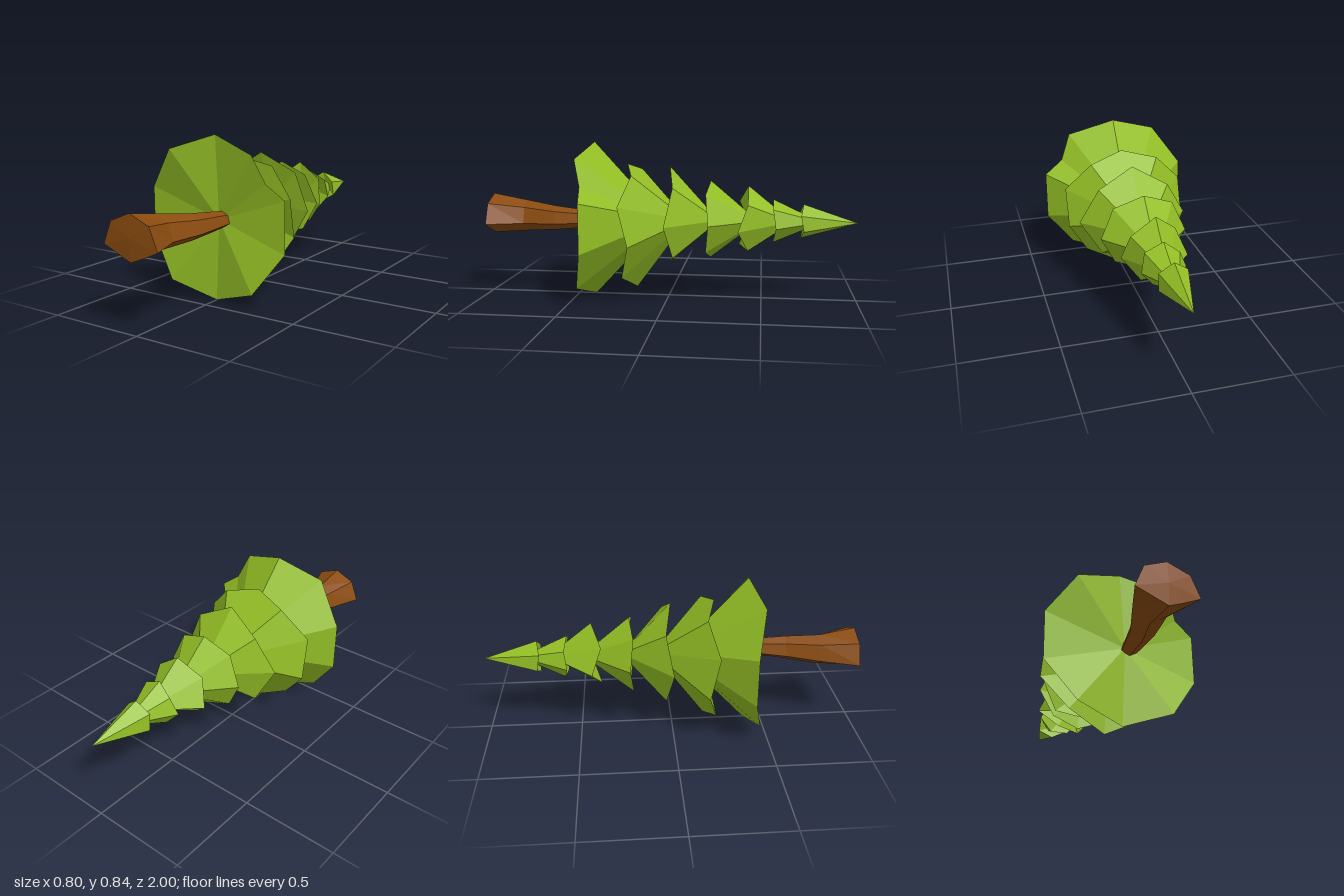
import * as THREE from 'three';

const AXIS_Y = 0.418;

// Flat-shaded mesh from a list of triangles (each three Vector3 corners)
function facetMesh(name, triangles, material) {
  const geometry = new THREE.BufferGeometry().setFromPoints(triangles.flat());
  geometry.computeVertexNormals();
  const mesh = new THREE.Mesh(geometry, material);
  mesh.name = name;
  return mesh;
}

// Jagged cone of foliage: rim entries are [angle in degrees, radius, z]
function foliageTier(name, { rim, apex, hollow }, material) {
  const points = rim.map(([deg, r, z]) => {
    const a = THREE.MathUtils.degToRad(deg);
    return new THREE.Vector3(r * Math.cos(a), AXIS_Y + r * Math.sin(a), z);
  });
  const tip = new THREE.Vector3(0.005, AXIS_Y, apex);
  const under = new THREE.Vector3(0.02, AXIS_Y, hollow);
  const triangles = [];
  points.forEach((p, i) => {
    const q = points[(i + 1) % points.length];
    triangles.push([q, p, tip], [p, q, under]);
  });
  return facetMesh(name, triangles, material);
}

// Evenly spaced rim starting at the top, with its own radii and alternating depth
const evenRim = (radii, zLow, zHigh) => radii.map((r, i) =>
  [90 + (i * 360) / radii.length, r, i % 2 ? zHigh : zLow]);

export function createModel() {
  const tree = new THREE.Group();
  tree.name = 'fallenPine';

  const green = new THREE.MeshStandardMaterial({ color: 0x93be25, flatShading: true });
  green.name = 'needle green';
  const brown = new THREE.MeshStandardMaterial({ color: 0x8a4b0f, flatShading: true });
  brown.name = 'bark brown';

  // Lowest tier: decagon with drooping corners and one notch
  const lowest = [];
  for (let i = 0; i < 10; i++) {
    const droops = [1, 4, 6, 9].includes(i);
    lowest.push([90 + i * 36, 0.418, droops ? 0.458 : 0.405]);
    if (i === 8) lowest.push([34, 0.362, 0.42]);
  }

  // Tiers from the trunk to the top
  const tiers = [
    { rim: lowest, apex: 0.02, hollow: 0.405 },
    { rim: evenRim([0.3, 0.32, 0.35, 0.36, 0.35, 0.375, 0.35, 0.33, 0.335, 0.31], 0.225, 0.175), apex: -0.1, hollow: 0.17 },
    { rim: evenRim([0.29, 0.26, 0.29, 0.27, 0.23, 0.25, 0.29, 0.27], -0.005, -0.04), apex: -0.27, hollow: -0.07 },
    { rim: evenRim([0.215, 0.22, 0.225, 0.21, 0.2, 0.21, 0.225, 0.22], -0.225, -0.208), apex: -0.48, hollow: -0.25 },
    { rim: evenRim([0.19, 0.15, 0.175, 0.15, 0.165, 0.165, 0.16], -0.425, -0.375), apex: -0.66, hollow: -0.43 },
    { rim: evenRim([0.12, 0.1, 0.12, 0.11, 0.115, 0.115, 0.12], -0.555, -0.57), apex: -0.81, hollow: -0.59 },
    { rim: evenRim([0.095, 0.085, 0.09, 0.085, 0.085, 0.08], -0.715, -0.7), apex: -1, hollow: -0.73 },
  ];
  tiers.forEach((tier, i) => tree.add(foliageTier(`foliageTier${i + 1}`, tier, green)));

  // Curved trunk: each ring is [centre x, centre y, half width, half height, z]
  const section = [[0, 1], [-0.71, 0.59], [-1, -0.4], [0, -1], [0.5, -0.72], [1, -0.4], [0.71, 0.59]];
  const rings = [
    [-0.029, 0.435, 0.156, 0.11, 0.988],
    [-0.03, 0.424, 0.085, 0.086, 0.8],
    [0.018, 0.42, 0.063, 0.066, 0.62],
    [0.042, 0.421, 0.043, 0.044, 0.42],
    [0.042, 0.421, 0.03, 0.03, 0.3],
  ].map(([x, y, w, h, z]) => section.map(([sx, sy]) =>
    new THREE.Vector3(x + sx * w, y + sy * h, z)));
  const baseCentre = new THREE.Vector3(-0.029, 0.435, 0.995);
  const bark = [];
  section.forEach((_, i) => {
    const j = (i + 1) % section.length;
    bark.push([rings[0][i], rings[0][j], baseCentre]);
    for (let k = 0; k < rings.length - 1; k++) {
      const a = rings[k], b = rings[k + 1];
      bark.push([a[j], a[i], b[i]], [a[j], b[i], b[j]]);
    }
  });
  tree.add(facetMesh('trunk', bark, brown));

  return tree;
}
